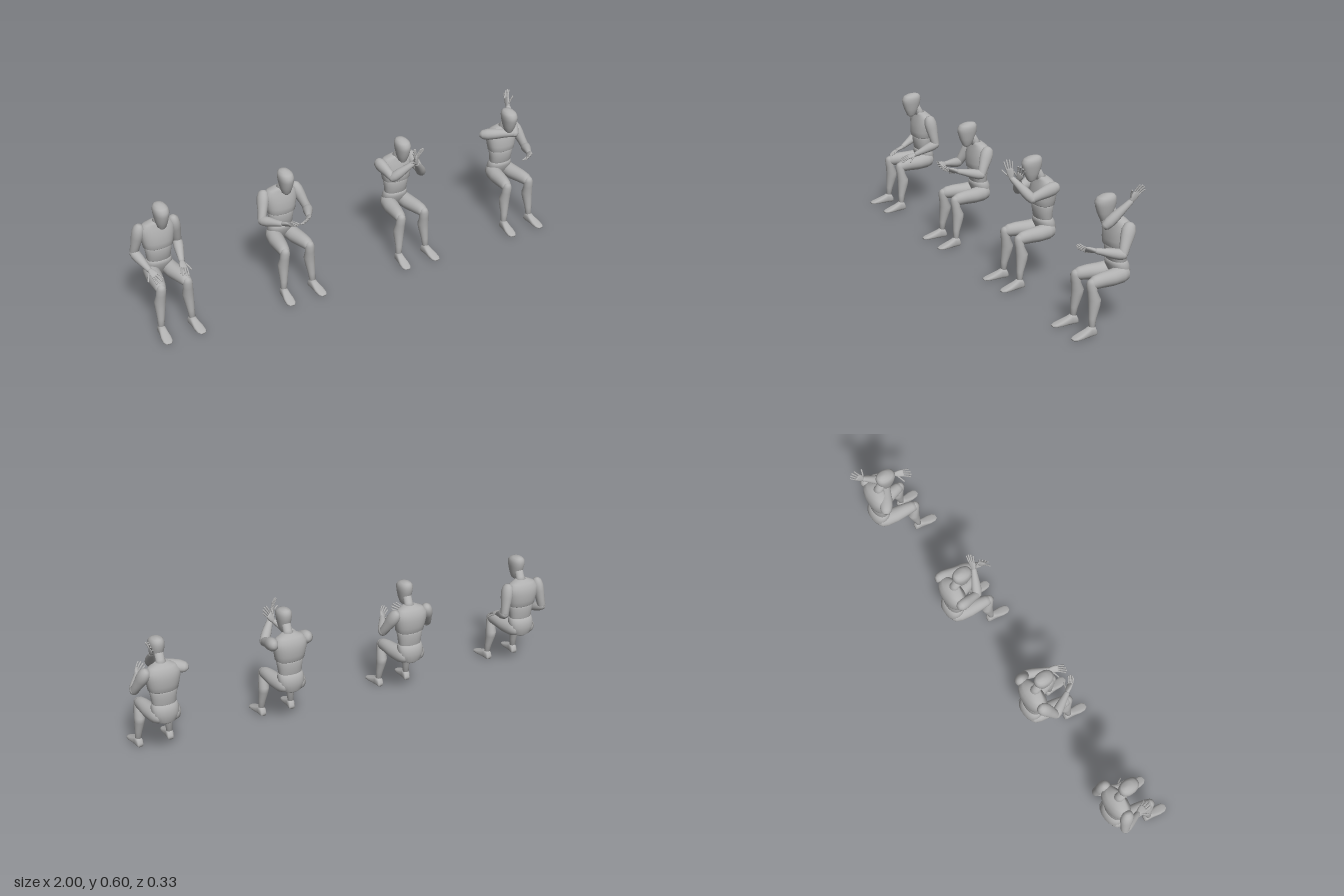
import * as THREE from 'three';
import { mergeVertices } from 'three/addons/utils/BufferGeometryUtils.js';

const grey = new THREE.MeshStandardMaterial({ color: 0xb0b0b0 });
grey.name = 'mannequin grey';
const V = (x, y, z) => new THREE.Vector3(x, y, z);

// Smooth closed solid through cross-sections [height, half width, front, back]; power < 1 squares it off
function loft(rows, sides = 20, power = 1) {
  const n = rows.length - 1;
  let geo = new THREE.CylinderGeometry(1, 1, 1, sides, n);
  const p = geo.attributes.position;
  const bulge = (v) => Math.sign(v) * Math.abs(v) ** power;
  for (let i = 0; i < p.count; i++) {
    const [y, rx, f, b] = rows[Math.round((p.getY(i) + 0.5) * n)];
    p.setXYZ(i, bulge(p.getX(i)) * rx, y, (f + b) / 2 + bulge(p.getZ(i)) * (f - b) / 2);
  }
  geo.deleteAttribute('normal');
  geo.deleteAttribute('uv');
  geo = mergeVertices(geo, 1e-6);
  geo.computeVertexNormals();
  return geo;
}

function add(parent, name, geo) {
  const mesh = new THREE.Mesh(geo, grey);
  mesh.name = name;
  parent.add(mesh);
  return mesh;
}

// Place an object at a with its y axis toward b and its z axis toward the hint
function aim(obj, a, b, hint) {
  const y = b.clone().sub(a).normalize();
  const z = hint.clone().addScaledVector(y, -hint.dot(y)).normalize();
  const x = y.clone().cross(z);
  obj.quaternion.setFromRotationMatrix(new THREE.Matrix4().makeBasis(x, y, z));
  obj.position.copy(a);
  return obj;
}

const HEAD = loft([
  [0.443, 0.008, -0.008, -0.028], [0.452, 0.018, 0.001, -0.042], [0.48, 0.026, 0.014, -0.056],
  [0.51, 0.031, 0.023, -0.066], [0.53, 0.033, 0.024, -0.068], [0.544, 0.029, 0.013, -0.066],
  [0.552, 0.02, -0.006, -0.059], [0.556, 0.006, -0.025, -0.045]], 24, 0.92);
const CHEST = loft([
  [0.336, 0.058, -0.036, -0.112], [0.341, 0.065, -0.029, -0.118], [0.365, 0.069, -0.028, -0.123],
  [0.4, 0.076, -0.031, -0.126], [0.43, 0.076, -0.041, -0.12], [0.448, 0.058, -0.047, -0.107],
  [0.46, 0.028, -0.05, -0.092]], 28, 0.85);
const ABDOMEN = loft([
  [0.262, 0.048, -0.05, -0.106], [0.28, 0.053, -0.041, -0.112], [0.305, 0.056, -0.037, -0.113],
  [0.33, 0.06, -0.035, -0.115], [0.342, 0.056, -0.04, -0.11]], 24, 0.9);
const PELVIS = loft([
  [0.186, 0.02, -0.08, -0.108], [0.198, 0.042, -0.066, -0.121], [0.235, 0.06, -0.046, -0.128],
  [0.26, 0.059, -0.038, -0.123], [0.274, 0.055, -0.039, -0.115], [0.278, 0.048, -0.046, -0.108]], 24, 0.9);
const NECK = loft([[0, 0.026, 0.024, -0.024], [0.02, 0.02, 0.018, -0.018], [0.055, 0.02, 0.018, -0.018]]);

const THIGH = loft([
  [-0.018, 0.014, 0.016, -0.016], [-0.006, 0.027, 0.032, -0.028], [0.02, 0.034, 0.036, -0.035],
  [0.07, 0.035, 0.033, -0.034], [0.12, 0.03, 0.033, -0.028], [0.155, 0.025, 0.029, -0.025],
  [0.17, 0.021, 0.021, -0.021], [0.178, 0.01, 0.01, -0.012]]);
const SHIN = loft([
  [-0.02, 0.008, 0.008, -0.01], [-0.014, 0.016, 0.017, -0.016], [0, 0.021, 0.023, -0.02],
  [0.03, 0.021, 0.018, -0.022], [0.065, 0.024, 0.014, -0.039], [0.09, 0.022, 0.013, -0.036],
  [0.14, 0.016, 0.013, -0.019], [0.175, 0.014, 0.012, -0.013]]);
const FOOT = loft([
  [0, 0.012, 0.022, 0.003], [0.008, 0.016, 0.039, 0.001], [0.03, 0.017, 0.043, 0],
  [0.045, 0.018, 0.035, 0], [0.075, 0.022, 0.023, 0], [0.1, 0.02, 0.014, 0],
  [0.113, 0.011, 0.009, 0.002]], 20, 0.75);

// Arm sections run from 0 to 1 and are stretched to the bone length
const UPPER_ARM = loft([
  [-0.24, 0.01, 0.012, -0.012], [-0.15, 0.021, 0.023, -0.023], [0.05, 0.026, 0.03, -0.03],
  [0.3, 0.025, 0.029, -0.029], [0.65, 0.02, 0.023, -0.023], [0.95, 0.019, 0.02, -0.02],
  [1.08, 0.012, 0.012, -0.012]]);
const FOREARM = loft([
  [-0.14, 0.01, 0.01, -0.01], [-0.06, 0.018, 0.018, -0.018], [0.12, 0.022, 0.022, -0.022],
  [0.35, 0.021, 0.021, -0.021], [0.75, 0.015, 0.014, -0.014], [0.98, 0.012, 0.011, -0.011],
  [1.03, 0.008, 0.008, -0.008]]);
const PALM = loft([
  [-0.004, 0.007, 0.006, -0.006], [0.004, 0.011, 0.009, -0.008], [0.02, 0.016, 0.008, -0.007],
  [0.036, 0.017, 0.006, -0.006], [0.041, 0.014, 0.003, -0.004]], 16, 0.8);
const KNUCKLE = new THREE.CapsuleGeometry(0.0037, 0.0095, 3, 8).translate(0, 0.006, 0);

// Jointed finger whose three links curl toward the palm (+z)
function finger(hand, name, x, y, lean, curl, scale) {
  let joint = new THREE.Group();
  joint.name = name;
  joint.position.set(x, y, 0);
  joint.rotation.z = lean;
  joint.scale.setScalar(scale);
  hand.add(joint);
  for (let i = 0; i < 3; i++) {
    const link = new THREE.Group();
    link.position.y = i ? 0.0125 : 0;
    link.rotation.x = curl;
    add(link, 'fingerLink', KNUCKLE);
    joint.add(link);
    joint = link;
  }
}

function makeHand(wrist, tip, palm, thumbSide, curl) {
  const hand = new THREE.Group();
  hand.name = 'hand';
  add(hand, 'palm', PALM);
  [0.95, 1.08, 1.02, 0.82].forEach((s, i) => {
    const k = (1.5 - i) * thumbSide;
    finger(hand, 'finger', k * 0.009, 0.038, -k * 0.1, curl, s);
  });
  finger(hand, 'thumb', thumbSide * 0.013, 0.012, -thumbSide * 0.75, 0.12, 1);
  return aim(hand, wrist, tip, palm);
}

function makeArm(side, { elbow, wrist, tip, palm, curl = 0.15 }) {
  const arm = new THREE.Group();
  arm.name = side > 0 ? 'leftArm' : 'rightArm';
  const [e, w, t, n] = [elbow, wrist, tip, palm].map((c) => V(...c));
  const s = V(side * 0.08, 0.425, -0.082);
  const hint = V(0, 0.3, 1);
  const upper = aim(add(arm, 'upperArm', UPPER_ARM), s, e, hint);
  upper.scale.y = s.distanceTo(e);
  const fore = aim(add(arm, 'forearm', FOREARM), e, w, V(0.2, 1, 0.4));
  fore.scale.y = e.distanceTo(w);
  arm.add(makeHand(w, t, n, side, curl));
  return arm;
}

function makeFigure(name, x, leftPose, rightPose) {
  const body = new THREE.Group();
  body.name = name;
  body.position.x = x;
  add(body, 'head', HEAD);
  aim(add(body, 'neck', NECK), V(0, 0.445, -0.07), V(0, 0.5, -0.04), V(0, 0, 1));
  add(body, 'chest', CHEST);
  add(body, 'abdomen', ABDOMEN);
  add(body, 'pelvis', PELVIS);
  for (const s of [1, -1]) {
    const hip = V(s * 0.036, 0.222, -0.095);
    const knee = V(s * 0.06, 0.215, 0.072);
    aim(add(body, 'thigh', THIGH), hip, knee, V(0, 1, 0));
    aim(add(body, 'shin', SHIN), knee, V(s * 0.071, 0.04, 0.075), V(0, 0, 1));
    aim(add(body, 'foot', FOOT), V(s * 0.069, 0, 0.055), V(s * 0.079, 0, 0.17), V(0, 1, 0));
  }
  body.add(makeArm(1, leftPose), makeArm(-1, rightPose));
  return body;
}

// Mirror an arm pose to the other side
function mirror(pose) {
  const flip = ([x, y, z]) => [-x, y, z];
  return { ...pose, elbow: flip(pose.elbow), wrist: flip(pose.wrist), tip: flip(pose.tip), palm: flip(pose.palm) };
}

export function createModel() {
  const model = new THREE.Group();
  model.name = 'seatedMannequins';
  const resting = { elbow: [0.1, 0.315, -0.1], wrist: [0.073, 0.27, -0.005], tip: [0.055, 0.25, 0.075], palm: [-0.3, -1, 0] };
  const forward = { elbow: [0.112, 0.335, -0.035], wrist: [0.065, 0.353, 0.06], tip: [0.02, 0.365, 0.13], palm: [-0.6, 0.6, -0.3] };
  const guardLeft = { elbow: [0.075, 0.392, 0.02], wrist: [0.01, 0.475, 0.082], tip: [-0.01, 0.56, 0.092], palm: [-0.7, 0, -0.7], curl: 0.05 };
  const guardRight = { elbow: [-0.066, 0.392, 0.008], wrist: [0.015, 0.463, 0.05], tip: [0.065, 0.545, 0.056], palm: [0.5, 0, 0.8], curl: 0.05 };
  const overShoulder = { elbow: [0.028, 0.437, -0.012], wrist: [0.053, 0.527, -0.106], tip: [0.065, 0.6, -0.157], palm: [1, 0.1, -0.2], curl: 0.12 };
  model.add(
    makeFigure('restingFigure', -0.886, resting, mirror(resting)),
    makeFigure('reachingFigure', -0.304, forward, mirror(forward)),
    makeFigure('guardingFigure', 0.284, guardLeft, guardRight),
    makeFigure('throwingFigure', 0.862, forward, overShoulder));
  return model;
}
